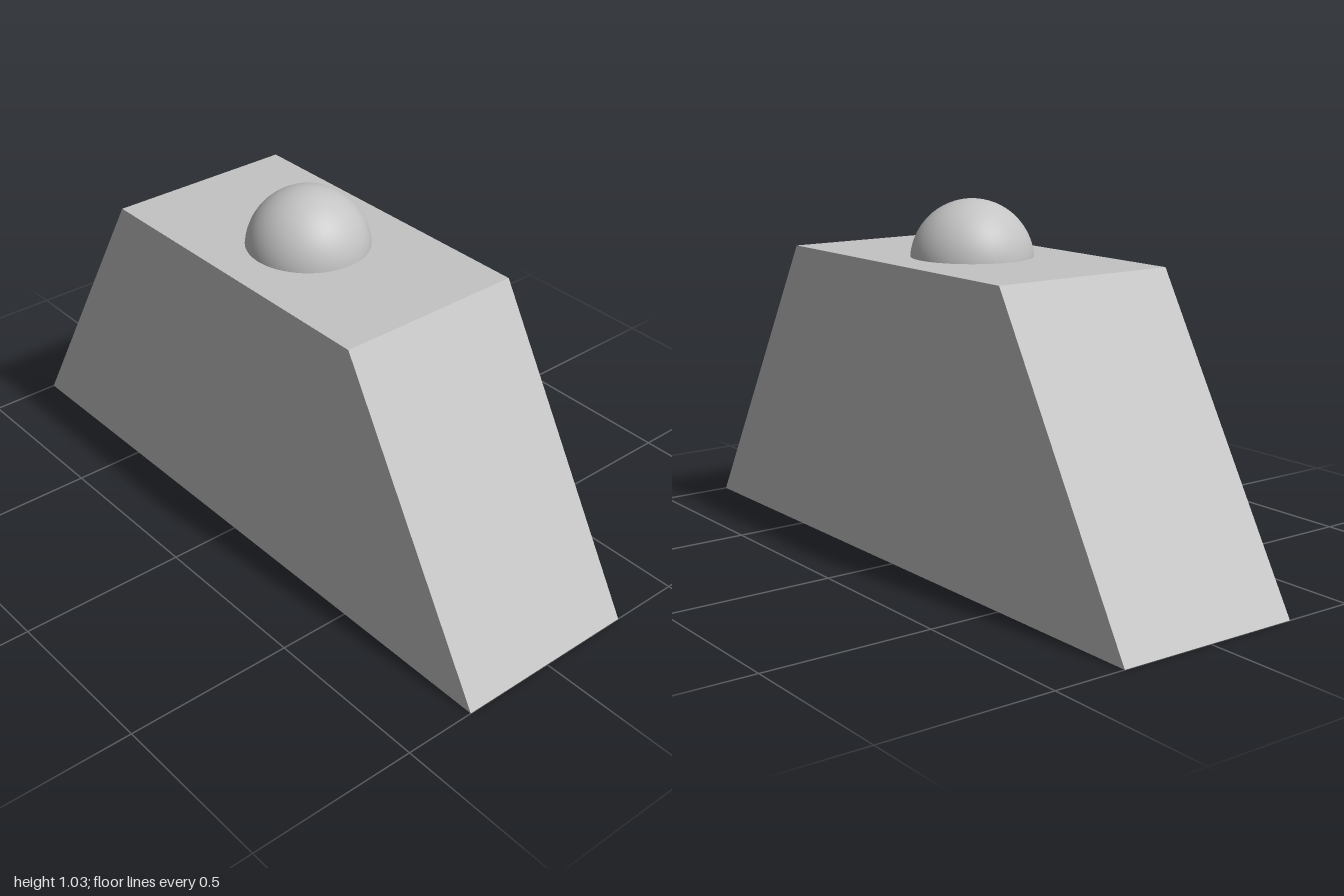
import * as THREE from 'three';

const HEIGHT = 0.866, DEPTH = 0.285, WALL = 0.015;

// Flat-faced open shell: a strip of quads through four-cornered rings, closed at both ends
function ringShell(rings) {
  const pos = [];
  const quad = (a, b, c, d) => [a, b, c, a, c, d].forEach(p => pos.push(...p));
  for (let i = 0; i < rings.length - 1; i++) {
    for (let k = 0; k < 4; k++) {
      const n = (k + 1) % 4;
      quad(rings[i][k], rings[i + 1][k], rings[i + 1][n], rings[i][n]);
    }
  }
  quad(...rings[0]);
  quad(...[...rings[rings.length - 1]].reverse());
  const geo = new THREE.BufferGeometry();
  geo.setAttribute('position', new THREE.Float32BufferAttribute(pos, 3));
  geo.computeVertexNormals();
  return geo;
}

// Rectangle at height y, counter-clockwise from above
const ring = (x, y, z) => [[-x, y, z], [x, y, z], [x, y, -z], [-x, y, -z]];

export function createModel() {
  const model = new THREE.Group();
  const grey = new THREE.MeshStandardMaterial({ color: 0xc4c4c4 });
  grey.name = 'plain grey';

  const add = (name, geo) => {
    const mesh = new THREE.Mesh(geo, grey);
    mesh.name = name;
    model.add(mesh);
    return mesh;
  };

  // Round bar between two points
  const bar = (name, from, to, radius) => {
    const dir = to.clone().sub(from);
    const mesh = add(name, new THREE.CylinderGeometry(radius, radius, dir.length(), 32));
    mesh.position.copy(from).add(to).multiplyScalar(0.5);
    mesh.quaternion.setFromUnitVectors(new THREE.Vector3(0, 1, 0), dir.normalize());
  };

  // Hollow tapered body, open underneath
  const inset = WALL / Math.sin(Math.PI / 3);
  const innerTop = HEIGHT - WALL;
  const innerTopX = 1 - innerTop / Math.sqrt(3) - inset;
  add('taperedBody', ringShell([
    ring(0.5, HEIGHT, DEPTH),
    ring(1, 0, DEPTH),
    ring(1 - inset, 0, DEPTH - WALL),
    ring(innerTopX, innerTop, DEPTH - WALL),
  ]));

  // Round knob sunk into the top
  add('topKnob', new THREE.SphereGeometry(0.178, 48, 32)).position.y = 0.852;

  // Inner grip bar, held by struts square to the sloping walls
  const gripY = 0.2, radius = 0.05, reach = 0.33;
  bar('gripBar', new THREE.Vector3(-0.5, gripY, 0), new THREE.Vector3(0.5, gripY, 0), radius);
  for (const side of [1, -1]) {
    bar(side > 0 ? 'leftStrut' : 'rightStrut',
      new THREE.Vector3(side * 0.5, gripY, 0),
      new THREE.Vector3(side * (0.5 + reach * 0.866), gripY + reach * 0.5, 0), radius);
  }
  return model;
}
